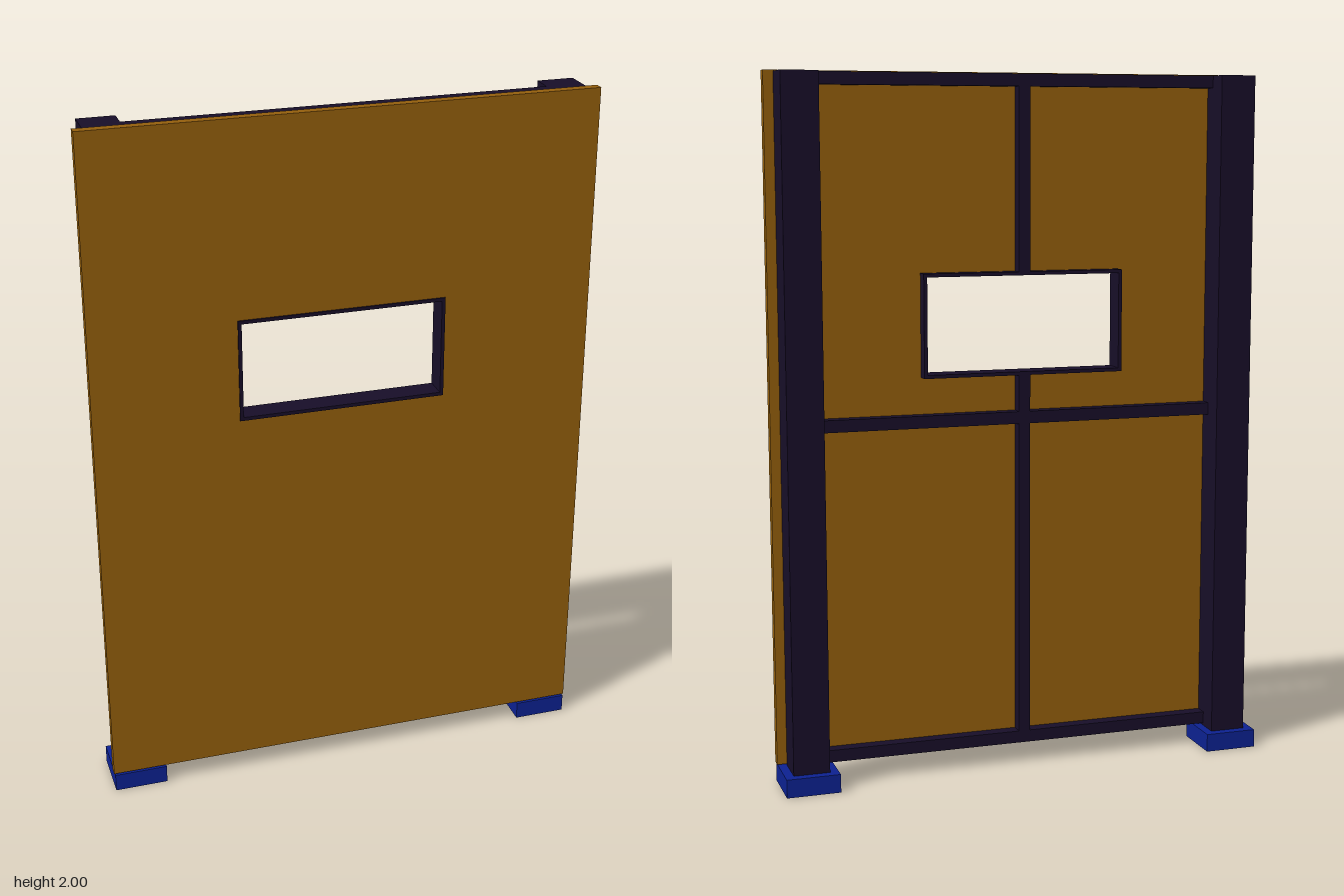
import * as THREE from 'three';

const wood = new THREE.MeshStandardMaterial({ color: 0x945f0c });
const steel = new THREE.MeshStandardMaterial({ color: 0x170e28 });
const blue = new THREE.MeshStandardMaterial({ color: 0x0c2191 });

// Window opening through the panel
const WIN = { x0: -0.308, x1: 0.284, y0: 1.15, y1: 1.445 };

function rect(Type, x0, x1, y0, y1) {
  const r = new Type();
  r.moveTo(x0, y0);
  r.lineTo(x1, y0);
  r.lineTo(x1, y1);
  r.lineTo(x0, y1);
  r.closePath();
  return r;
}

// Rectangular slab with a rectangular hole, spanning z0 to z1
function holedSlab(name, outer, inner, z0, z1, material) {
  const shape = rect(THREE.Shape, ...outer);
  shape.holes.push(rect(THREE.Path, ...inner));
  const geo = new THREE.ExtrudeGeometry(shape, { depth: z1 - z0, bevelEnabled: false });
  geo.translate(0, 0, z0);
  const mesh = new THREE.Mesh(geo, material);
  mesh.name = name;
  return mesh;
}

// Box given by its extents
function block(name, x0, x1, y0, y1, z0, z1, material) {
  const mesh = new THREE.Mesh(new THREE.BoxGeometry(x1 - x0, y1 - y0, z1 - z0), material);
  mesh.position.set((x0 + x1) / 2, (y0 + y1) / 2, (z0 + z1) / 2);
  mesh.name = name;
  return mesh;
}

export function createModel() {
  const model = new THREE.Group();
  model.name = 'windowedPanel';
  const { x0, x1, y0, y1 } = WIN;

  // Wooden front panel and the thin frame lining its window
  model.add(holedSlab('panel', [-0.717, 0.717, 0.057, 2], [x0, x1, y0, y1], 0.047, 0.075, wood));
  const t = 0.01;
  model.add(holedSlab('windowFrame', [x0, x1, y0, y1],
    [x0 + t, x1 - t, y0 + t, y1 - t], 0.01, 0.079, steel));

  // Corner posts on square feet
  for (const [side, s] of [['left', 1], ['right', -1]]) {
    const c = s * 0.637;
    model.add(block(side + 'Post', c - 0.052, c + 0.052, 0.053, 1.997, -0.052, 0.047, steel));
    model.add(block(side + 'Foot', c - 0.077, c + 0.077, 0, 0.053, -0.078, 0.078, blue));
  }

  // Horizontal rails between the posts
  for (const [name, y] of [['bottomRail', 0.06], ['middleRail', 1.01], ['topRail', 1.962]]) {
    model.add(block(name, -0.586, 0.586, y, y + 0.035, 0.01, 0.047, steel));
  }

  // Central upright, interrupted by the rails and the window
  const spans = [[0.095, 1.01], [1.045, y0], [y1, 1.962]];
  spans.forEach(([a, b], i) =>
    model.add(block('upright' + (i + 1), -0.029, 0.005, a, b, 0.01, 0.047, steel)));

  return model;
}
